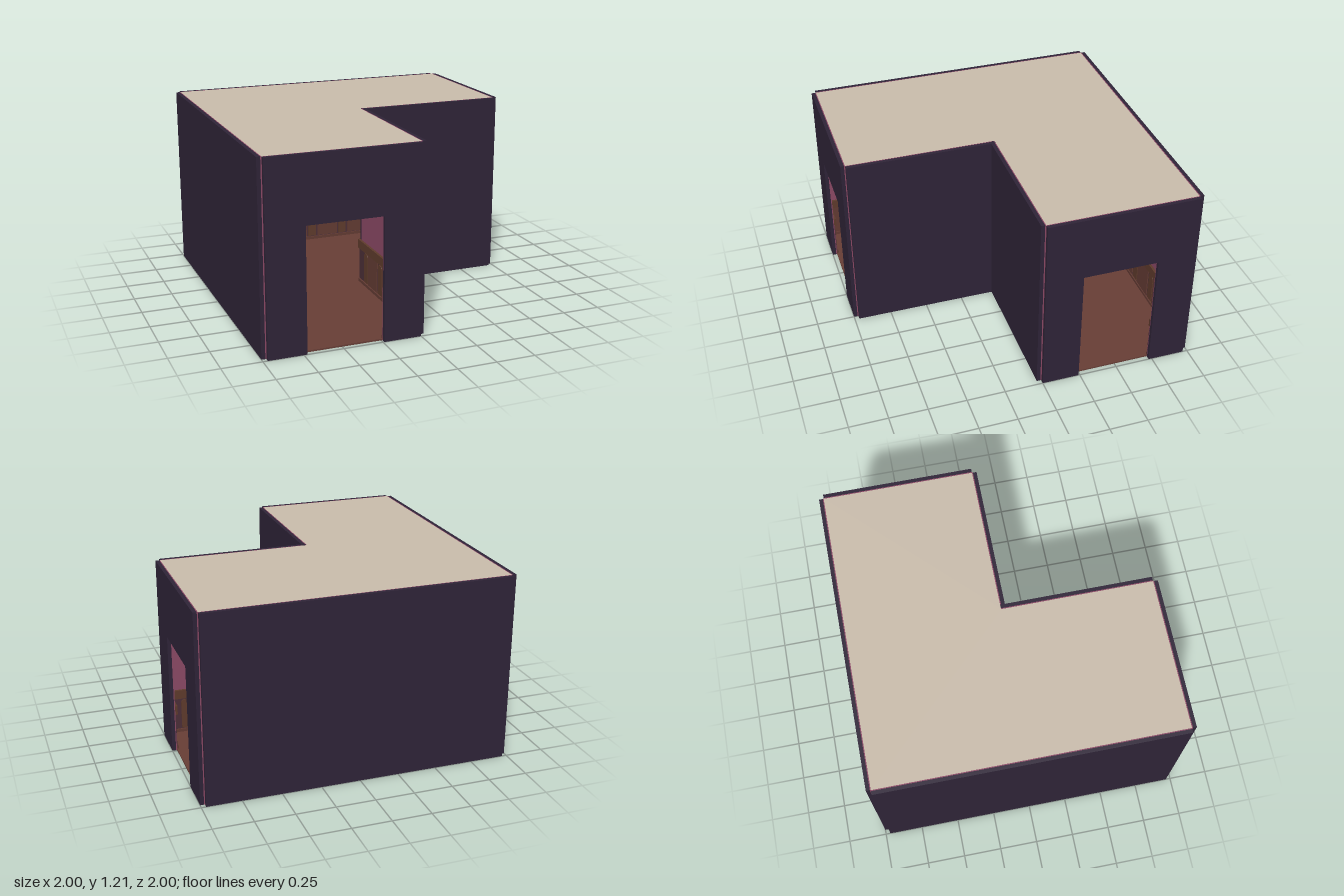
import * as THREE from 'three';

const H = 1.21, L = 0.97, T = 0.03;
const DOOR_W = 0.486, DOOR_H = 0.79;

const material = (name, color) => {
  const m = new THREE.MeshStandardMaterial({ color });
  m.name = name;
  return m;
};

export function createModel() {
  const shell = material('dark plum', 0x2f2438);
  const plaster = material('rose plaster', 0x8c4966);
  const cream = material('cream ceiling', 0xcabdac);
  const floorWood = material('floor brown', 0x683e36);
  const railWood = material('rail wood', 0x5f3b2c);
  const panelWood = material('panel wood', 0x633b33);
  const backWood = material('recess wood', 0x4c2f38);

  const model = new THREE.Group();
  model.name = 'cornerCorridor';

  const add = (parent, name, geometry, mat, x = 0, y = 0, z = 0) => {
    const mesh = new THREE.Mesh(geometry, mat);
    mesh.name = name;
    mesh.position.set(x, y, z);
    parent.add(mesh);
    return mesh;
  };
  const extrude = (shape, depth) =>
    new THREE.ExtrudeGeometry(shape, { depth, bevelEnabled: false, curveSegments: 6 });
  const polygon = (points) => new THREE.Shape(points.map(([x, y]) => new THREE.Vector2(x, y)));

  // Narrow raised panel with an arched head
  const arch = new THREE.Shape();
  arch.moveTo(-0.03, 0.035);
  arch.lineTo(0.03, 0.035);
  arch.lineTo(0.03, 0.215);
  arch.quadraticCurveTo(0.03, 0.24, 0, 0.24);
  arch.quadraticCurveTo(-0.03, 0.24, -0.03, 0.215);
  arch.closePath();

  // Wood panelling along one stretch, on the inner (-z) side of a wall
  const addWainscot = (wall, from, to, phase) => {
    const len = to - from, mid = (from + to) / 2;
    const strip = (name, y0, y1, depth, mat) =>
      add(wall, name, new THREE.BoxGeometry(len, y1 - y0, depth), mat, mid, (y0 + y1) / 2, -depth / 2);
    strip('wainscotBack', 0.03, 0.25, 0.004, backWood);
    strip('baseboard', 0.008, 0.03, 0.014, panelWood);
    strip('chairRail', 0.25, 0.31, 0.016, railWood);
    const step = 0.2425;
    for (let k = -10; k <= 10; k++) {
      const x = phase + k * step;
      if (x - 0.078 > from && x + 0.078 < to) {
        add(wall, 'raisedPanel', new THREE.BoxGeometry(0.155, 0.215, 0.01), panelWood, x, 0.1425, -0.006);
      }
      const a = x + step / 2;
      if (a - 0.03 > from && a + 0.03 < to) {
        add(wall, 'archedPanel', extrude(arch, 0.008), railWood, a, 0, -0.009);
      }
    }
  };

  // Wall along local x, outer side +z, with an optional doorway
  const addWall = (name, len, x, z, turn, phase, door = false) => {
    const wall = new THREE.Group();
    wall.name = name;
    wall.position.set(x, 0, z);
    wall.rotation.y = turn;
    const h = len / 2, d = DOOR_W / 2;
    const outline = door
      ? [[-h, 0], [-d, 0], [-d, DOOR_H], [d, DOOR_H], [d, 0], [h, 0], [h, H], [-h, H]]
      : [[-h, 0], [h, 0], [h, H], [-h, H]];
    add(wall, 'outerWall', extrude(polygon(outline), T - 0.006), shell, 0, 0, 0.006);
    add(wall, 'wallLining', extrude(polygon(outline), 0.006), plaster);
    if (door) {
      addWainscot(wall, -h, -d, phase);
      addWainscot(wall, d, h, phase);
    } else {
      addWainscot(wall, -h, h, phase);
    }
    model.add(wall);
  };

  const Q = Math.PI / 2;
  addWall('backWall', 2 * L, 0, -L, Math.PI, 0.617);
  addWall('leftOuterWall', 2 * L, -L, 0, -Q, -0.353);
  addWall('frontDoorWall', L, -L / 2, L, 0, 0, true);
  addWall('sideDoorWall', L, L, -L / 2, Q, 0, true);
  addWall('innerSideWall', L, 0, L / 2, Q, 0);
  addWall('innerFrontWall', L, L / 2, 0, 0, 0);

  // L-shaped floor and ceiling (shape y becomes -z)
  const plan = polygon([[-L, -L], [0, -L], [0, 0], [L, 0], [L, L], [-L, L]]);
  const addSlab = (name, y, depth, mat) => {
    add(model, name, extrude(plan, depth), mat, 0, y, 0).rotation.x = -Q;
  };
  addSlab('floor', 0, 0.01, floorWood);
  addSlab('ceiling', H - 0.012, 0.012, cream);

  // Shallow ribs under the ceiling, two across the halls and one on the mitre
  const addRib = (len, x, z, turn) => {
    add(model, 'ceilingRib', new THREE.BoxGeometry(len, 0.03, 0.07), cream, x, H - 0.027, z).rotation.y = turn;
  };
  addRib(L, 0.225, -L / 2, Q);
  addRib(L, -L / 2, 0.225, 0);
  addRib(L * Math.SQRT2 - 0.08, -L / 2, -L / 2, -Q / 2);

  return model;
}
